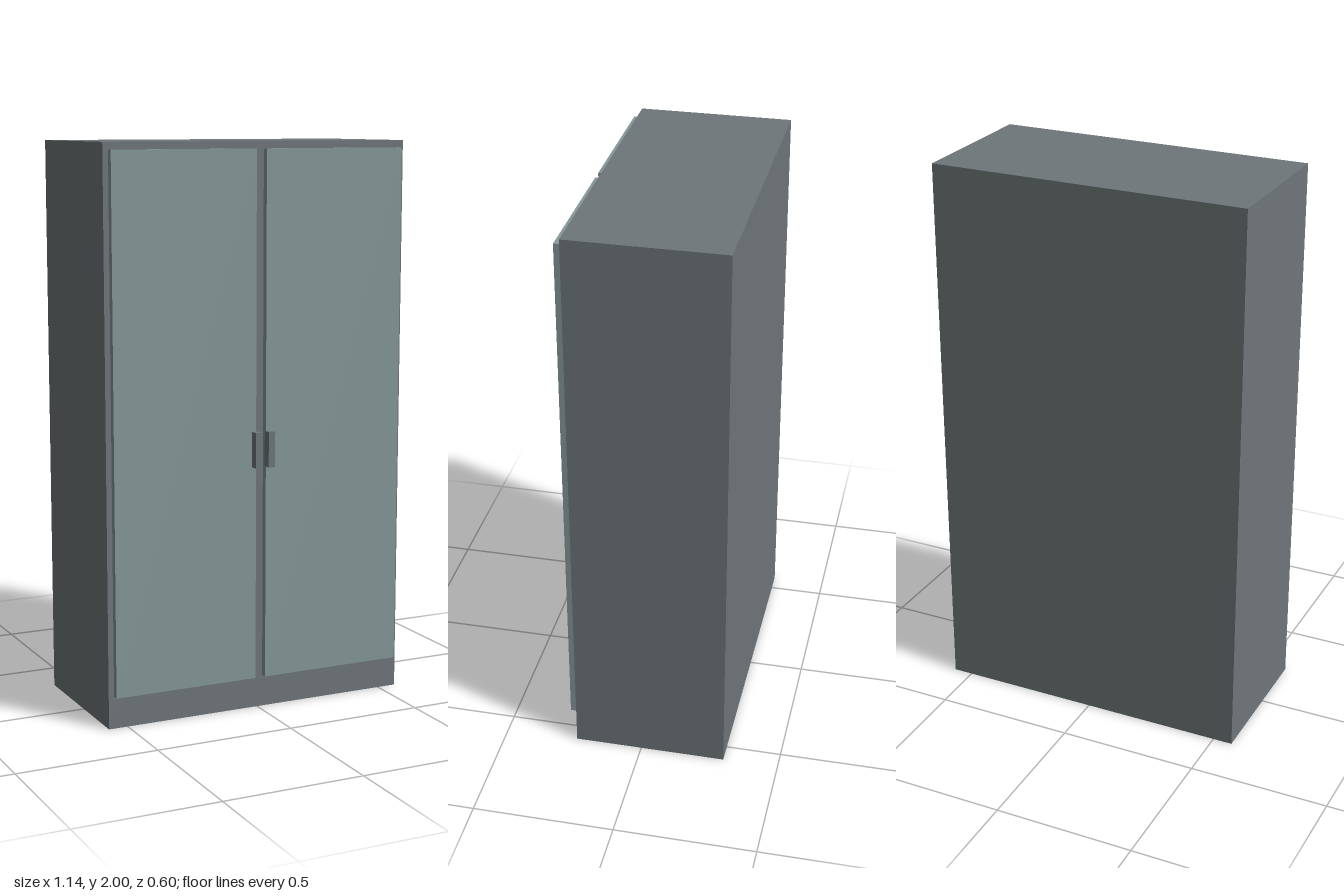
import * as THREE from 'three';

export function createModel() {
  const group = new THREE.Group();
  const bodyMaterial = new THREE.MeshStandardMaterial({ color: 0x6e7679 });
  const doorMaterial = new THREE.MeshStandardMaterial({ color: 0x859899 });

  // Box given by its lower and upper corners
  function addBox(name, material, [x0, y0, z0], [x1, y1, z1]) {
    const mesh = new THREE.Mesh(new THREE.BoxGeometry(x1 - x0, y1 - y0, z1 - z0), material);
    mesh.position.set((x0 + x1) / 2, (y0 + y1) / 2, (z0 + z1) / 2);
    mesh.name = name;
    group.add(mesh);
  }

  // Cabinet carcass
  addBox('cabinetBody', bodyMaterial, [-0.57, 0, -0.303], [0.57, 2, 0.24]);

  // A door and its handle on each side, standing just clear of what is behind
  for (const [side, s] of [['left', 1], ['right', -1]]) {
    const span = (a, b) => (s > 0 ? [a, b] : [-b, -a]);
    const [d0, d1] = span(0.019, 0.551);
    addBox(side + 'Door', doorMaterial, [d0, 0.115, 0.242], [d1, 1.975, 0.265]);
    const [h0, h1] = span(0.012, 0.037);
    addBox(side + 'Handle', bodyMaterial, [h0, 0.88, 0.27], [h1, 1.005, 0.301]);
  }

  return group;
}
